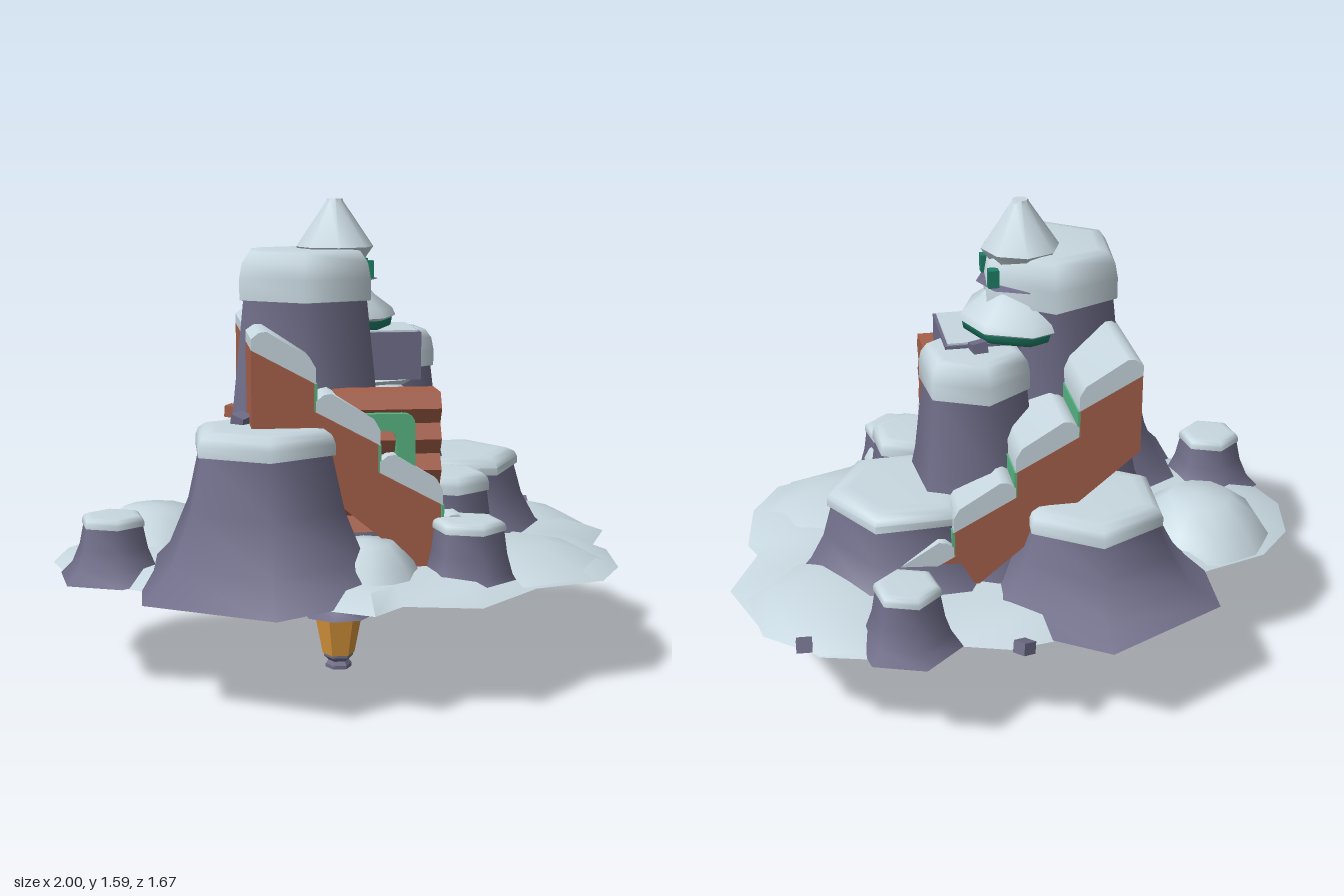
import * as THREE from 'three';
import { toCreasedNormals } from 'three/addons/utils/BufferGeometryUtils.js';

const mat = (name, color) => {
  const m = new THREE.MeshStandardMaterial({ color });
  m.name = name;
  return m;
};

export function createModel() {
  const snow = mat('snow', 0xc8d8e0);
  const rock = mat('slate rock', 0x6f6d88);
  const wood = mat('red wood', 0xa5604a);
  const green = mat('light green', 0x57b583);
  const jade = mat('dark jade', 0x1f7f66);
  const amber = mat('amber glass', 0xd8943a);

  const model = new THREE.Group();
  model.name = 'snowyMountain';

  const add = (name, geo, material, parent = model, crease = 1.1) => {
    const mesh = new THREE.Mesh(toCreasedNormals(geo, crease), material);
    mesh.name = name;
    parent.add(mesh);
    return mesh;
  };
  const lathe = (pts, sides) =>
    new THREE.LatheGeometry(pts.map(p => new THREE.Vector2(p[0], p[1])), sides);
  const prism = (pts, depth) => {
    const s = new THREE.Shape(pts.map(p => new THREE.Vector2(p[0], p[1])));
    return new THREE.ExtrudeGeometry(s, { depth, bevelEnabled: false });
  };

  // Ground: irregular snow field with a flat underside and a sloping rim
  const outline = [
    [-1, 0], [-0.96, -0.2], [-0.83, -0.34], [-0.6, -0.41], [-0.45, -0.6], [-0.2, -0.66],
    [0, -0.73], [0.14, -0.75], [0.3, -0.7], [0.55, -0.73], [0.74, -0.68], [0.84, -0.5],
    [0.92, -0.46], [1, -0.24], [0.9, -0.02], [0.93, 0.05], [0.9, 0.3], [0.8, 0.47],
    [0.56, 0.54], [0.34, 0.75], [0.1, 0.7], [0, 0.8], [-0.12, 0.73], [-0.35, 0.62],
    [-0.65, 0.46], [-0.92, 0.26]];
  const rings = [[0, 0.36], [1, 0.36], [0.87, 0.405], [0.7, 0.418], [0, 0.42]];
  const pos = [], index = [], n = outline.length;
  for (const [k, y] of rings) for (const [x, z] of outline) pos.push(x * k, y, z * k);
  for (let r = 0; r < rings.length - 1; r++) {
    for (let i = 0; i < n; i++) {
      const a = r * n + i, b = r * n + (i + 1) % n;
      if (r > 0) index.push(a, a + n, b);
      if (r < rings.length - 2) index.push(r > 0 ? b : a, a + n, b + n);
    }
  }
  const ground = new THREE.BufferGeometry();
  ground.setAttribute('position', new THREE.Float32BufferAttribute(pos, 3));
  ground.setIndex(index);
  add('snowGround', ground, snow, model, 0.5);

  // Snow mounds: x, z, radius, top height, sides
  [[-0.65, -0.15, 0.25, 0.52, 10], [0.02, 0.46, 0.19, 0.52, 8], [0.62, -0.38, 0.33, 0.44, 9],
    [0.52, 0.2, 0.36, 0.44, 9]].forEach(([x, z, r, top, sides]) => {
    const h = top - 0.37;
    const m = add('snowMound', lathe([[0, 0.37], [r, 0.37], [r * 0.8, 0.37 + h * 0.5],
      [r * 0.45, 0.37 + h * 0.95], [0, top]], sides), snow);
    m.position.set(x, 0, z);
  });

  // Hexagonal crags: x, z, base radius, cap radius, top height, cap height, turn
  const crags = [
    ['frontCrag', -0.3, 0.37, 0.46, 0.25, 0.88, 0.08, 0],
    ['backCrag', -0.2, -0.38, 0.46, 0.25, 0.69, 0.07, -0.06],
    ['mainPeak', -0.135, 0.04, 0.45, 0.25, 1.425, 0.165, -0.1],
    ['sidePeak', 0.15, -0.14, 0.34, 0.19, 1.14, 0.13, 0.1],
    ['leftCrag', 0.4, -0.19, 0.41, 0.26, 0.69, 0.06, 0.56],
    ['backKnoll', 0.45, -0.65, 0.175, 0.11, 0.58, 0.035, 0.2],
    ['frontKnoll', 0.35, 0.47, 0.17, 0.12, 0.58, 0.035, 0.2],
    ['middleKnoll', 0.32, 0.21, 0.22, 0.15, 0.69, 0.06, 0.1],
    ['rightKnoll', -0.79, 0.22, 0.19, 0.11, 0.57, 0.035, 0.15]];
  crags.forEach(([name, x, z, r0, rc, top, ch, turn]) => {
    const g = new THREE.Group();
    g.name = name;
    g.position.set(x, 0, z);
    g.rotation.y = turn;
    model.add(g);
    const y1 = top - ch, h = y1 - 0.362, rt = rc * 0.94;
    add('cragRock', lathe([[0, 0.362], [r0, 0.362], [rt + (r0 - rt) * 0.52, 0.362 + h * 0.24],
      [rt + (r0 - rt) * 0.2, 0.362 + h * 0.6], [rt, y1 + 0.01]], 6), rock, g);
    add('cragSnowCap', lathe([[rt * 0.9, y1 - 0.005], [rc, y1 + 0.002], [rc, y1 + ch * 0.45],
      [rc * 0.96, y1 + ch * 0.75], [rc * 0.85, y1 + ch * 0.97], [rc * 0.7, top], [0, top]], 6), snow, g);
  });

  // Stepped wooden stair running through the mountain
  const stair = new THREE.Group();
  stair.name = 'steppedStair';
  stair.position.z = -0.435;
  model.add(stair);
  add('stairBody', prism([[-0.345, 0.86], [0.365, 0.27], [0.45, 0.36], [0.45, 0.43], [0.265, 0.53],
    [0.265, 0.62], [0.06, 0.73], [0.06, 0.82], [-0.145, 0.93], [-0.145, 1.02], [-0.345, 1.13]], 0.87),
  wood, stair, 0.3);
  for (let i = 0; i < 4; i++) {
    const x = -0.345 + i * 0.205, y = 1.13 - i * 0.2;
    const layer = add('stairSnow', prism([[x, y], [x + 0.205, y - 0.11], [x + 0.205, y - 0.06],
      [x + 0.185, y - 0.025], [x + 0.05, y + 0.058], [x + 0.025, y + 0.055], [x, y + 0.035]], 0.876),
    snow, stair, 0.7);
    layer.position.z = -0.003;
    if (i < 3) {
      const riser = add('stairRiser', new THREE.BoxGeometry(0.008, 0.09, 0.872), green, stair);
      riser.position.set(x + 0.206, y - 0.155, 0.435);
    }
  }

  // Ribbed wooden awning with notched ends
  const left = [], right = [];
  for (let i = 0; i <= 9; i++) {
    const w = i % 2 ? 0.098 : 0.068, y = 0.98 - i * 0.05;
    left.push([-w, y]);
    right.unshift([w, y]);
  }
  const awning = add('ribbedAwning', prism([...left, ...right], 0.34), wood, model, 0.3);
  awning.rotation.y = Math.PI / 2;
  awning.position.set(-0.07, 0, 0.31);

  // Green arched door frame around the awning
  const arch = new THREE.Shape();
  arch.moveTo(-0.02, 0.92);
  arch.lineTo(-0.02, 0.865);
  arch.lineTo(0.09, 0.865);
  arch.quadraticCurveTo(0.12, 0.86, 0.12, 0.83);
  arch.lineTo(0.12, 0.73);
  arch.lineTo(0.18, 0.7);
  arch.lineTo(0.18, 0.88);
  arch.quadraticCurveTo(0.18, 0.92, 0.14, 0.92);
  const frame = add('greenArch', new THREE.ExtrudeGeometry(arch,
    { depth: 0.245, bevelEnabled: false, curveSegments: 4 }), green, model, 0.6);
  frame.position.z = 0.188;

  // Watchtower half set into the main peak
  const tower = new THREE.Group();
  tower.name = 'watchtower';
  tower.position.set(-0.03, 0, -0.01);
  model.add(tower);
  add('towerTopRoof', lathe([[0, 1.37], [0.1, 1.385], [0.132, 1.43], [0.03, 1.58],
    [0.026, 1.59], [0, 1.59]], 8), snow, tower, 0.7).position.z = 0.01;
  for (const z of [-0.075, 0.075]) {
    add('towerPost', new THREE.BoxGeometry(0.035, 0.06, 0.035), jade, tower).position.set(0.105, 1.355, z);
  }
  add('towerDisc', lathe([[0, 1.322], [0.15, 1.32], [0.1, 1.335], [0, 1.34]], 8), rock, tower);
  add('towerLowerRoof', lathe([[0, 1.18], [0.19, 1.182], [0.212, 1.195], [0.2, 1.22], [0.14, 1.265],
    [0.11, 1.3], [0, 1.31]], 8), snow, tower, 0.9).position.z = -0.01;
  add('towerRoofBand', lathe([[0, 1.14], [0.16, 1.142], [0.195, 1.16], [0.2, 1.186], [0, 1.186]], 8), jade, tower)
    .position.z = -0.01;
  add('towerBase', new THREE.BoxGeometry(0.25, 0.16, 0.29), rock, tower).position.set(0.15, 1.07, 0.01);
  add('towerBaseSnow', new THREE.BoxGeometry(0.23, 0.008, 0.27), snow, tower).position.set(0.15, 1.152, 0.01);
  add('towerLedge', lathe([[0, 0.97], [0.17, 0.97], [0.18, 0.985], [0.1, 1.0], [0, 1.0]], 8), snow, tower)
    .position.x = 0.1;
  add('ledgeBand', lathe([[0, 0.87], [0.14, 0.87], [0.15, 0.9], [0, 0.91]], 8), jade, tower)
    .position.set(0.12, 0, 0.1);
  add('ledgeSnow', lathe([[0, 0.9], [0.15, 0.9], [0.16, 0.92], [0.09, 0.97], [0, 0.98]], 8), snow, tower)
    .position.set(0.12, 0, 0.1);

  // Lantern hanging under the ground
  const lantern = new THREE.Group();
  lantern.name = 'lantern';
  lantern.position.set(-0.035, 0, 0.15);
  lantern.rotation.y = Math.PI / 6;
  model.add(lantern);
  add('lanternFoot', lathe([[0, 0], [0.045, 0], [0.045, 0.012], [0.035, 0.025], [0.05, 0.04],
    [0.05, 0.055], [0, 0.055]], 6), rock, lantern, 0.4);
  add('lanternGlass', lathe([[0, 0.05], [0.055, 0.05], [0.082, 0.19], [0, 0.19]], 6), amber, lantern, 0.4);
  add('lanternRoof', lathe([[0, 0.186], [0.125, 0.19], [0.085, 0.215], [0.06, 0.25], [0.045, 0.28],
    [0, 0.29]], 8), rock, lantern);

  // Bent bracket reaching back from the lantern
  const hook = new THREE.CatmullRomCurve3([[0, 0.27, 0], [0, 0.31, -0.005], [0, 0.335, -0.04],
    [0, 0.335, -0.13]].map(p => new THREE.Vector3(...p)));
  const bracket = add('lanternBracket', new THREE.TubeGeometry(hook, 8, 0.025, 6), rock);
  bracket.position.set(-0.035, 0, 0.15);
  add('bracketPlate', new THREE.BoxGeometry(0.08, 0.06, 0.06), rock).position.set(-0.035, 0.34, 0.01);

  // Loose stones and one wood chip
  [[0.1, 0.38, -0.77, rock], [0.78, 0.385, -0.64, rock], [-0.37, 0.89, 0.32, rock],
    [0.14, 1.15, -0.17, rock], [-0.37, 0.85, -0.14, wood]].forEach(([x, y, z, m], i) => {
    const s = add('looseStone', new THREE.BoxGeometry(0.05, 0.04, 0.05), m);
    s.position.set(x, y, z);
    s.rotation.set(0.2, i * 0.9 + 0.6, 0.15);
  });
  return model;
}
